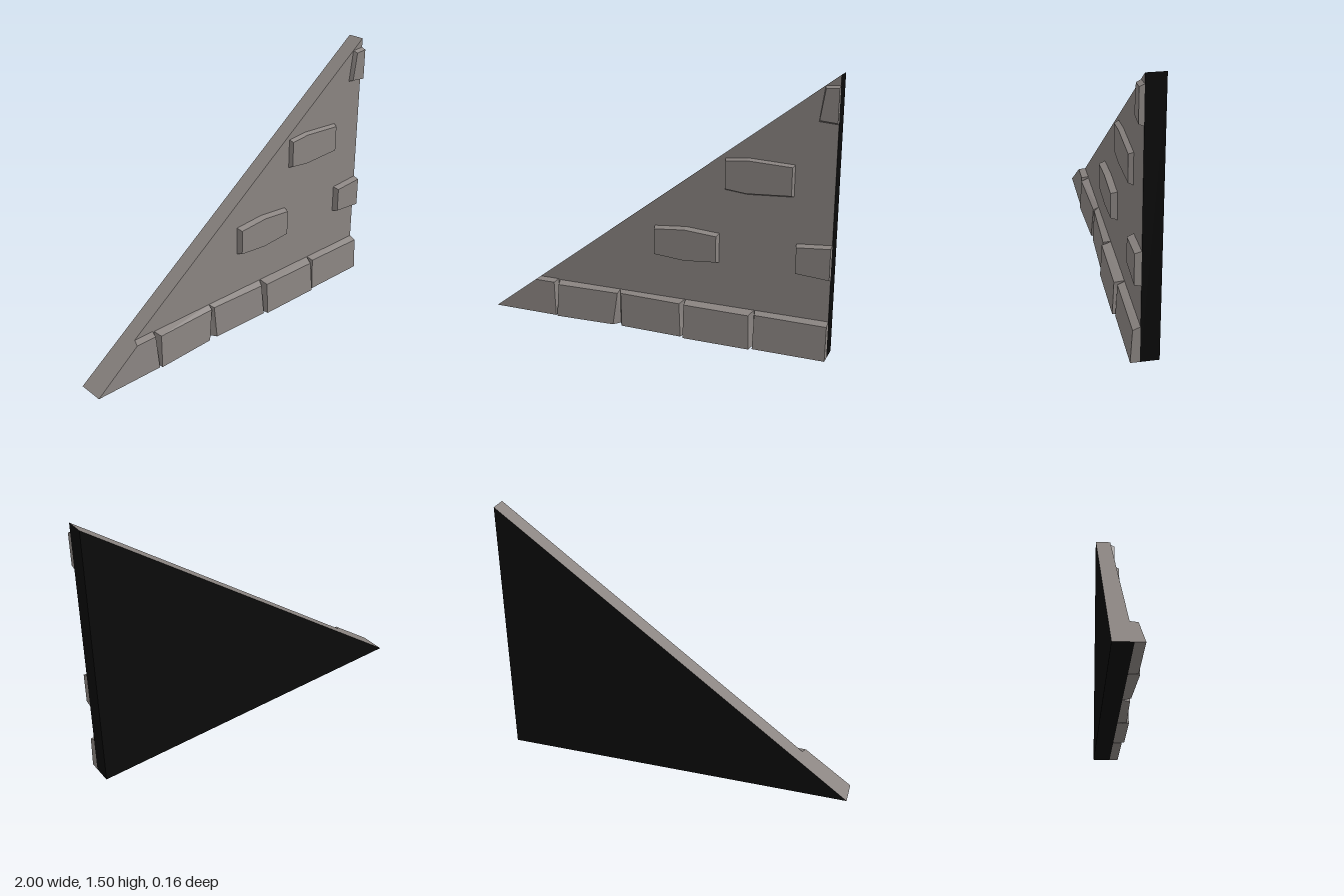
import * as THREE from 'three';

const BACK = -0.08, WALL = 0.018;

// Flat-shaded mesh from planar faces (corner loops, counter-clockwise from outside)
function facesMesh(name, faces, material) {
  const pos = [];
  for (const f of faces) {
    for (let i = 1; i < f.length - 1; i++) pos.push(...f[0], ...f[i], ...f[i + 1]);
  }
  const geo = new THREE.BufferGeometry();
  geo.setAttribute('position', new THREE.Float32BufferAttribute(pos, 3));
  geo.computeVertexNormals();
  const mesh = new THREE.Mesh(geo, material);
  mesh.name = name;
  return mesh;
}

// Front face plus the sides joining it to a matching rear loop
function raisedFaces(rear, front) {
  const sides = rear.map((p, i) => {
    const j = (i + 1) % rear.length;
    return [p, rear[j], front[j], front[i]];
  });
  return [front, ...sides];
}

export function createModel() {
  const group = new THREE.Group();
  const stone = new THREE.MeshStandardMaterial({ color: 0x8a8481 });
  stone.name = 'grey stone';
  const dark = new THREE.MeshStandardMaterial({ color: 0x0a0a0a });
  dark.name = 'black hidden sides';

  // Triangular wall slab: stone on the front and slope, black elsewhere
  const tri = [[-1, 0], [1, 0], [1, 1.5]];
  const [a, b, c] = tri.map(([x, y]) => [x, y, WALL]);
  const [d, e, f] = tri.map(([x, y]) => [x, y, BACK]);
  group.add(facesMesh('wallFrontAndSlope', [[a, b, c], [a, c, f, d]], stone));
  group.add(facesMesh('wallBackAndEnds', [[d, f, e], [d, e, b, a], [b, e, f, c]], dark));

  // Corner block, cut along the slope
  group.add(facesMesh('cornerBlock', raisedFaces(
    [[-1, 0, WALL], [-0.595, 0, WALL], [-0.6, 0.21, WALL], [-0.72, 0.21, WALL]],
    [[-1, 0, 0.067], [-0.597, 0, 0.067], [-0.61, 0.2, 0.058], [-0.733, 0.2, 0.058]]), stone));

  // Base blocks: rear x range, front x range at bottom and top, bottom depth at each end
  const blocks = [
    [-0.59, -0.2, -0.585, -0.23, -0.577, -0.205, 0.075, 0.06],
    [-0.2, 0.195, -0.175, 0.188, -0.185, 0.175, 0.058, 0.067],
    [0.2, 0.595, 0.207, 0.588, 0.207, 0.578, 0.08, 0.08],
    [0.6, 1, 0.604, 1, 0.608, 1, 0.067, 0.067],
  ];
  for (const [l, r, bl, br, tl, tr, zl, zr] of blocks) {
    group.add(facesMesh('baseBlock', raisedFaces(
      [[l, 0, WALL], [r, 0, WALL], [r, 0.206, WALL], [l, 0.206, WALL]],
      [[bl, 0, zl], [br, 0, zr], [tr, 0.19, zr - 0.01], [tl, 0.193, zl - 0.01]]), stone));
  }

  // Raised bricks: outline loop and depth; bevelled except where cut at x = 1
  const bricks = [
    [[[0.015, 0.45], [0.2, 0.435], [0.39, 0.45], [0.39, 0.615], [0.2, 0.63], [0.015, 0.615]], 0.053],
    [[[0.415, 0.862], [0.54, 0.848], [0.79, 0.86], [0.79, 1.03], [0.54, 1.044], [0.415, 1.032]], 0.043],
    [[[0.812, 0.45], [1, 0.436], [1, 0.626], [0.812, 0.612]], 0.053],
    [[[0.9, 1.262], [1, 1.253], [1, 1.448], [0.925, 1.442]], 0.043],
  ];
  for (const [loop, z] of bricks) {
    const ys = loop.map((p) => p[1]);
    const midY = (Math.min(...ys) + Math.max(...ys)) / 2;
    const midX = (loop[0][0] + Math.max(...loop.map((p) => p[0]))) / 2;
    const front = loop.map(([x, y]) => [
      x === 1 || Math.abs(x - midX) < 0.1 && loop.length > 4 ? x : x - Math.sign(x - midX) * 0.008,
      y - Math.sign(y - midY) * 0.01, z]);
    group.add(facesMesh('raisedBrick', raisedFaces(loop.map(([x, y]) => [x, y, WALL]), front), stone));
  }
  return group;
}
